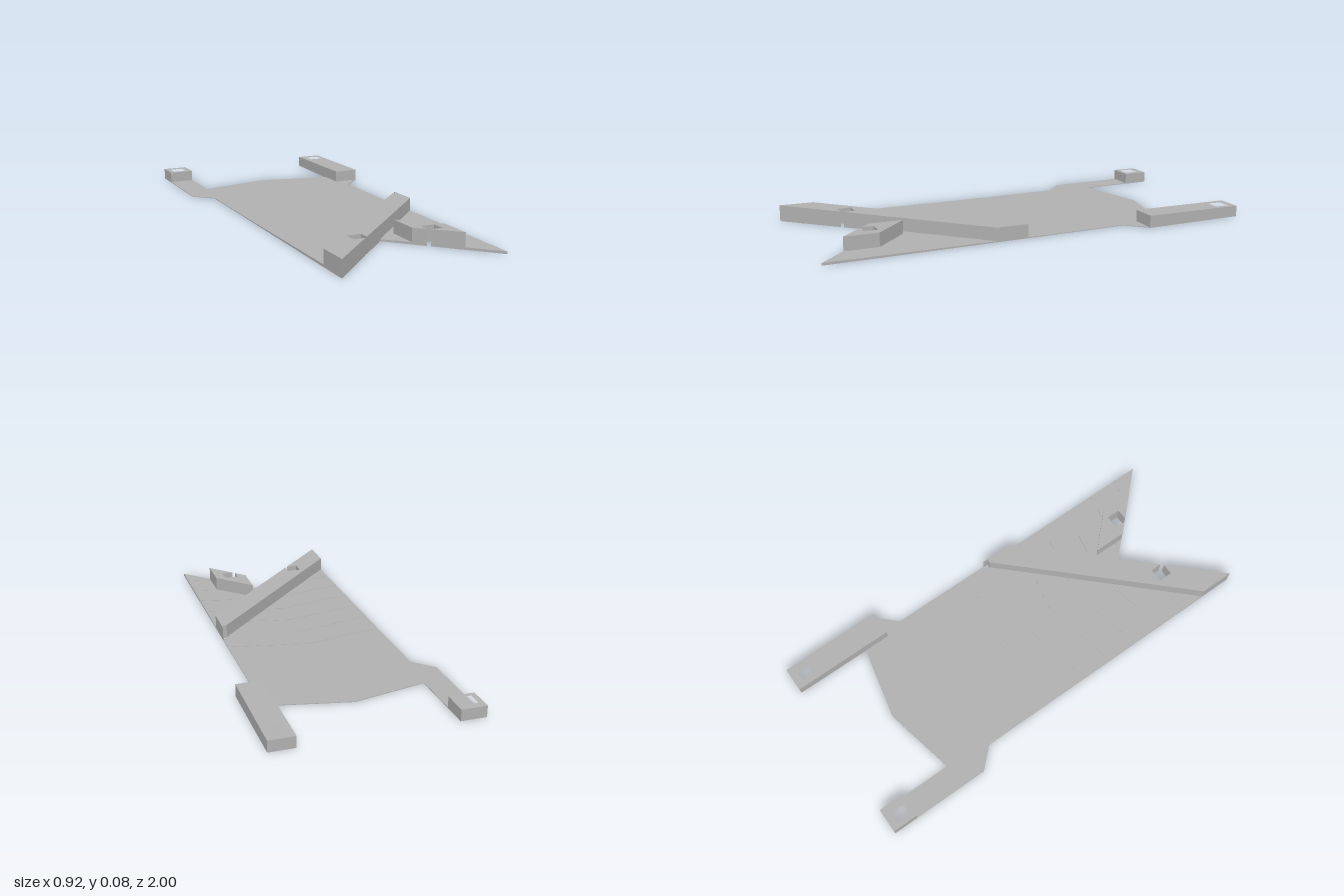
import * as THREE from 'three';

const grey = new THREE.MeshStandardMaterial({ color: 0xb0b0b0 });
grey.name = 'plain grey';

// Raised parts share one gently sloping top plane
const slopedTop = (z) => 0.0643 + 0.0125 * z;
const mirror = (pts) => pts.map(([x, z]) => [-x, z]).reverse();
const rect = (x0, x1, z0, z1) => [[x0, z0], [x1, z0], [x1, z1], [x0, z1]];

// Extrudes a plan outline of [x, z] points upward; top is a height or a rule of z
function slab(name, outline, bottom, top, holes = []) {
  const toV = (pts) => pts.map(([x, z]) => new THREE.Vector2(x, -z));
  const shape = new THREE.Shape(toV(outline));
  holes.forEach((h) => shape.holes.push(new THREE.Path(toV(h))));
  const geo = new THREE.ExtrudeGeometry(shape, { depth: 1, bevelEnabled: false });
  geo.rotateX(-Math.PI / 2);
  const p = geo.attributes.position;
  for (let i = 0; i < p.count; i++) {
    const high = typeof top === 'function' ? top(p.getZ(i)) : top;
    p.setY(i, p.getY(i) > 0.5 ? high : bottom);
  }
  geo.computeVertexNormals();
  const mesh = new THREE.Mesh(geo, grey);
  mesh.name = name;
  return mesh;
}

export function createModel() {
  const model = new THREE.Group();
  model.name = 'notchedPlate';

  // Square peg cutout that breaks through the V-notch edge
  const cutout = [[0.142, 0.758], [0.142, 0.705], [0.208, 0.705], [0.208, 0.77], [0.154, 0.77]];
  const armHole = rect(0.375, 0.438, -0.965, -0.9);
  const pinHole = rect(0.352, 0.372, 0.068, 0.09);

  // Thin base plate with two rear arms and a V-notched front
  const side = [[0.345, -0.64], [0.345, -1], [0.462, -1], [0.462, -0.515], [0.375, -0.425],
    [0.375, 1], ...[...cutout].reverse()];
  model.add(slab('basePlate', [[0, -0.715], ...side, [0, 0.61], ...mirror(side)],
    0, 0.003, [armHole, mirror(armHole), pinHole]));

  // Very thin chevron steps that thicken the plate toward the front
  const steps = new THREE.Group();
  steps.name = 'chevronSteps';
  const step = 0.0012;
  for (let i = 0; i < 7; i++) {
    const back = -0.1 + 0.15 * i;
    const y = 0.003 + step * i;
    const outer = [[0.375, back + 0.08], [0.375, 1]];
    let half;
    if (back < 0.61) {
      half = [[0, back], ...outer, ...[...cutout].reverse(), [0, 0.61]];
    } else {
      const x = (back - 0.61) / 0.827;
      half = [[x, 0.61 + 1.04 * x], ...outer];
      if (x < 0.142) half.push(...[...cutout].reverse());
    }
    const holes = back < 0.05 ? [pinHole] : [];
    steps.add(slab('leftStep', half, y, y + step, holes));
    steps.add(slab('rightStep', mirror(half), y, y + step));
  }
  model.add(steps);

  // Long diagonal rail across the front
  model.add(slab('diagonalRail', [[-0.375, 0.84], [0.352, 0.093], [0.352, 0.09], [0.375, 0.09],
    [0.375, 0.22], [0, 0.61], ...cutout.map(([x, z]) => [-x, z]), [-0.375, 1]], 0.002, slopedTop));
  model.add(slab('railEndSliver', rect(0.372, 0.375, 0.068, 0.09), 0.002, slopedTop));

  // Short block beside the notch
  model.add(slab('notchBlock', [[0.097, 0.555], [0.255, 0.715], [0.255, 0.875],
    ...[...cutout].reverse(), [0.097, 0.711]], 0.002, slopedTop));

  // Rear arm blocks, long on the left and short on the right
  model.add(slab('leftArmBlock', rect(0.345, 0.462, -1, -0.513), 0.002, slopedTop, [armHole]));
  model.add(slab('rightArmBlock', rect(-0.462, -0.345, -1, -0.88), 0.002, slopedTop, [mirror(armHole)]));

  return model;
}
